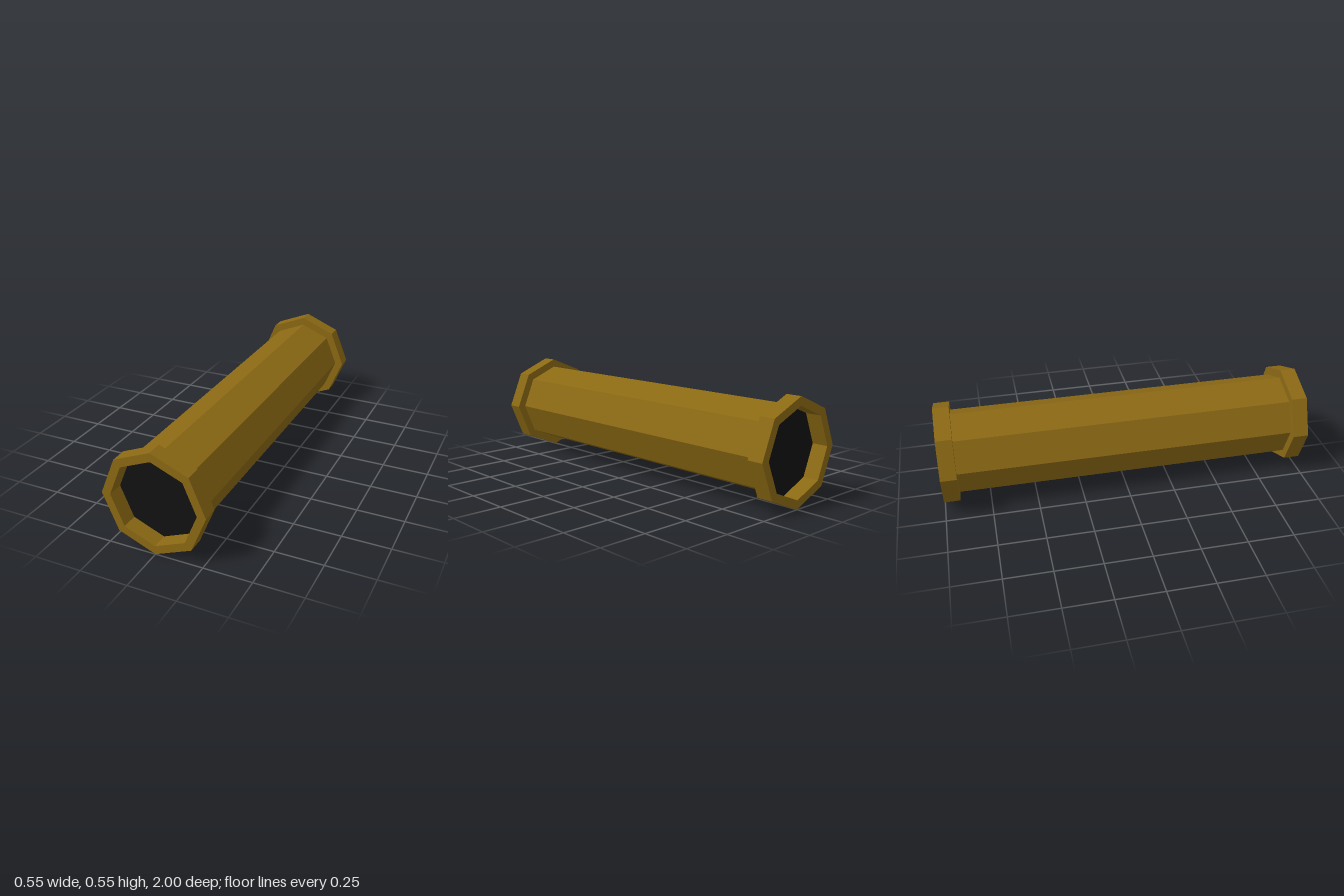
import * as THREE from 'three';

const SIDES = 8;
const RIM_R = 0.273;    // outer radius of the end collars
const TUBE_R = 0.227;   // radius of the pipe and of the collar openings
const COLLAR = 0.085;   // collar length

// Octagon with corners at top, bottom, left and right
function octagon(PathType, r) {
  const points = [];
  for (let i = 0; i < SIDES; i++) {
    const a = (i / SIDES) * Math.PI * 2;
    points.push(new THREE.Vector2(Math.cos(a) * r, Math.sin(a) * r));
  }
  return new PathType(points);
}

export function createModel() {
  const brass = new THREE.MeshStandardMaterial({ color: 0x8b6914, flatShading: true });
  brass.name = 'brass';
  const black = new THREE.MeshStandardMaterial({ color: 0x111111, flatShading: true });
  black.name = 'black';

  const model = new THREE.Group();
  model.name = 'pipe';

  // Pipe body, with black discs closing both ends inside the collars
  const bodyGeo = new THREE.CylinderGeometry(TUBE_R, TUBE_R, 2 - 2 * COLLAR, SIDES);
  bodyGeo.rotateX(Math.PI / 2);
  const body = new THREE.Mesh(bodyGeo, [brass, black, black]);
  body.name = 'pipeBody';
  body.position.y = RIM_R;
  model.add(body);

  // Hollow collars at the two ends
  const ring = octagon(THREE.Shape, RIM_R);
  ring.holes.push(octagon(THREE.Path, TUBE_R));
  const collarGeo = new THREE.ExtrudeGeometry(ring, { depth: COLLAR, bevelEnabled: false });
  for (const [name, z] of [['frontCollar', 1 - COLLAR], ['backCollar', -1]]) {
    const collar = new THREE.Mesh(collarGeo, brass);
    collar.name = name;
    collar.position.set(0, RIM_R, z);
    model.add(collar);
  }

  return model;
}
